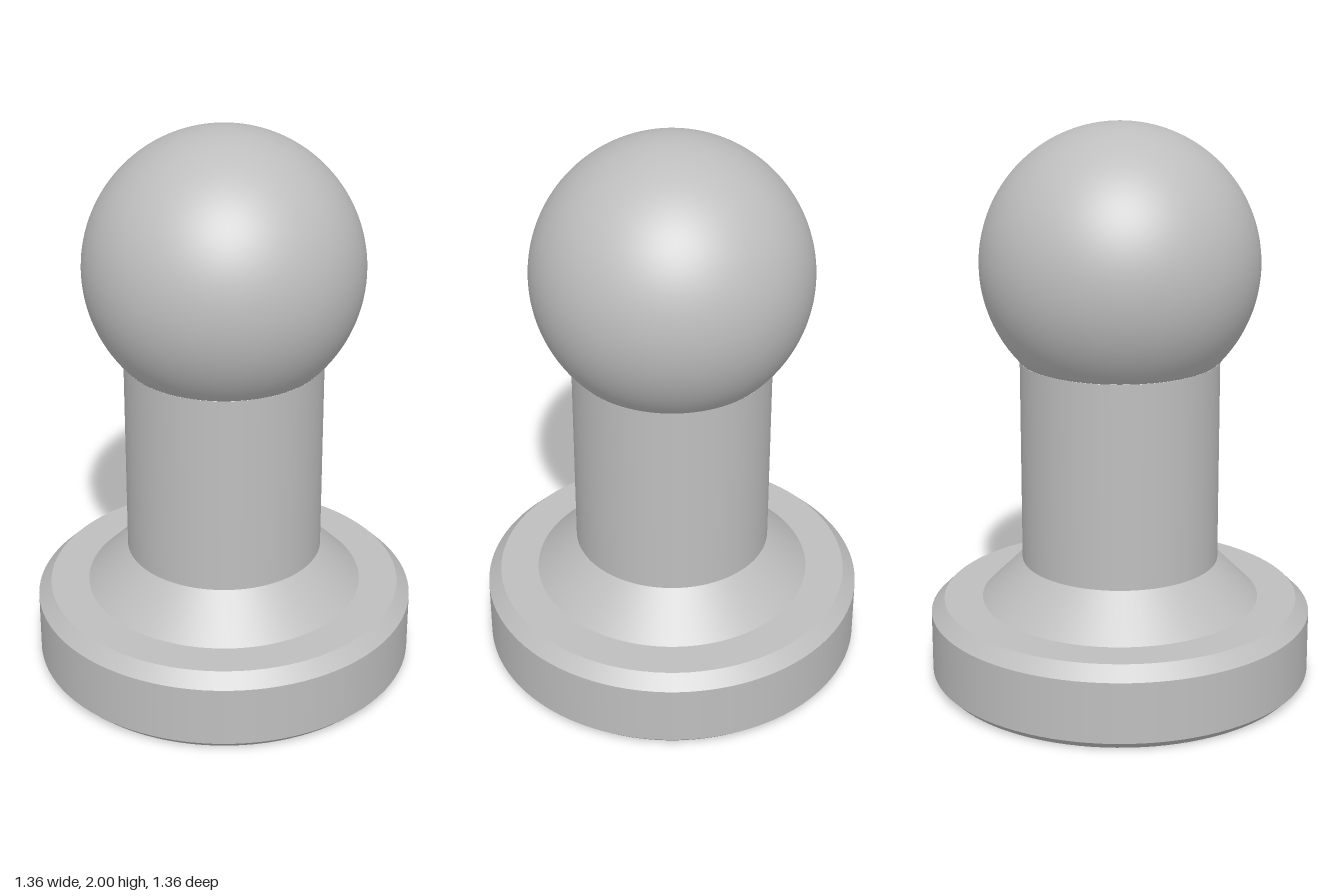
import * as THREE from 'three';

const SEGMENTS = 96;

export function createModel() {
  const model = new THREE.Group();
  model.name = 'ballStud';

  const grey = new THREE.MeshStandardMaterial({ color: 0xbebebe });
  grey.name = 'plain grey';

  function add(parent, name, geometry, y) {
    const mesh = new THREE.Mesh(geometry, grey);
    mesh.name = name;
    mesh.position.y = y;
    parent.add(mesh);
    return mesh;
  }

  // Open conical or straight wall: smooth around, sharp at both rims
  function band(parent, name, r0, y0, r1, y1) {
    add(parent, name, new THREE.CylinderGeometry(r1, r0, y1 - y0, SEGMENTS, 1, true), (y0 + y1) / 2);
  }

  // Disc foot with chamfered rims
  const foot = new THREE.Group();
  foot.name = 'foot';
  model.add(foot);
  add(foot, 'footUnderside', new THREE.CircleGeometry(0.655, SEGMENTS).rotateX(Math.PI / 2), 0);
  band(foot, 'footLowerChamfer', 0.655, 0, 0.682, 0.027);
  band(foot, 'footRim', 0.682, 0.027, 0.682, 0.247);
  band(foot, 'footUpperChamfer', 0.682, 0.247, 0.635, 0.294);
  add(foot, 'footShelf', new THREE.RingGeometry(0.497, 0.635, SEGMENTS).rotateX(-Math.PI / 2), 0.294);

  // Flared collar and straight neck
  band(model, 'collar', 0.497, 0.294, 0.351, 0.44);
  band(model, 'neck', 0.351, 0.44, 0.351, 1.175);

  // Ball, cut where it meets the neck
  const radius = 0.487;
  const cut = Math.PI - Math.asin(0.351 / radius);
  add(model, 'ball', new THREE.SphereGeometry(radius, SEGMENTS, 48, 0, Math.PI * 2, 0, cut), 2 - radius);

  return model;
}
